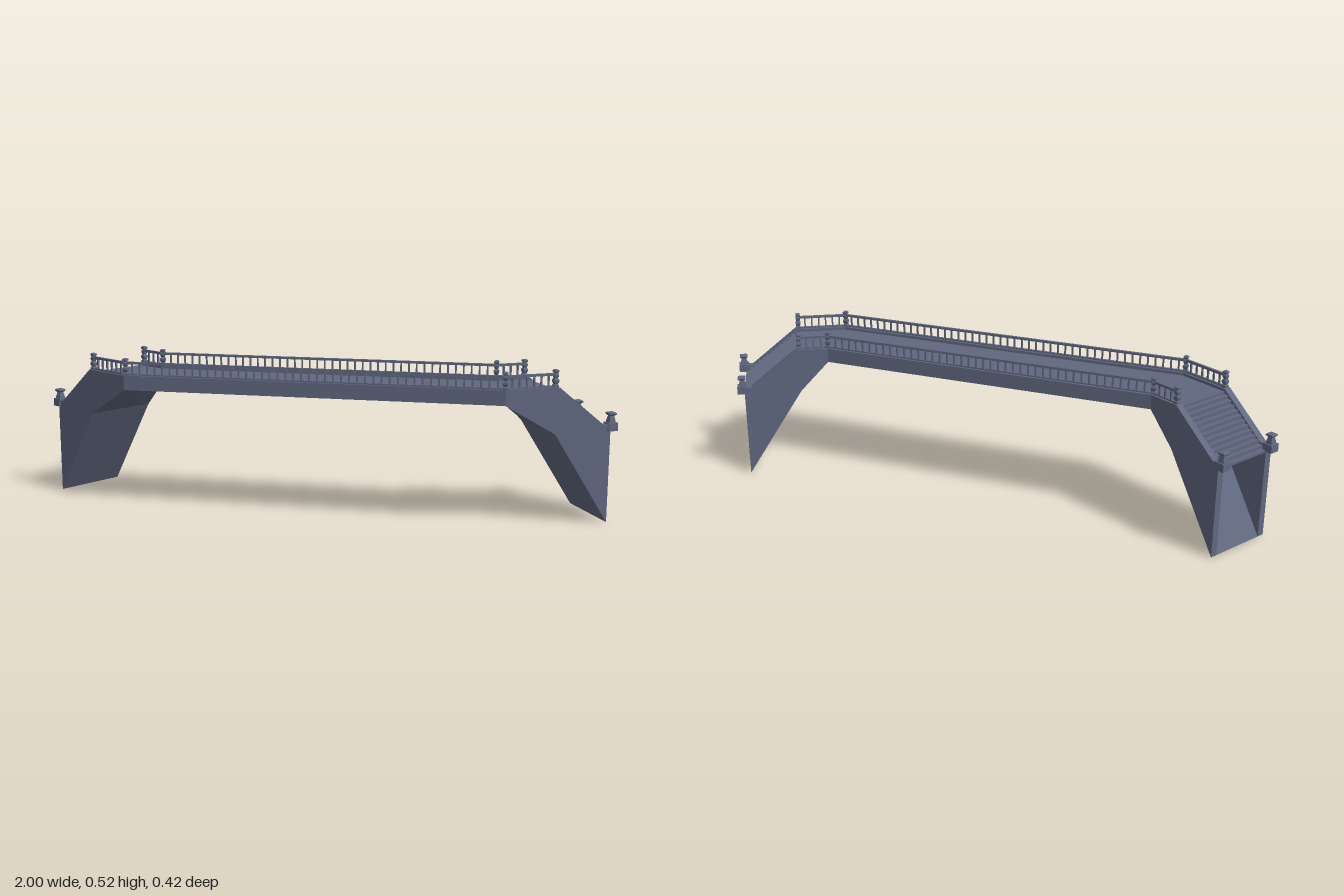
import * as THREE from 'three';
import { mergeGeometries } from 'three/addons/utils/BufferGeometryUtils.js';

const mat = new THREE.MeshStandardMaterial({ color: 0x606880, flatShading: true });
const sheetMat = new THREE.MeshStandardMaterial({ color: 0x606880, flatShading: true, side: THREE.DoubleSide });

const ANGLE = Math.PI / 6, MITRE = Math.tan(Math.PI / 12);
const WALL = 0.025, WIDTH = 0.2506;           // wall thickness, overall wing width
const FX = 0.645, FZ = 0.212;                 // front outer corner of the deck
const BX = 0.589, BZ = -0.045;                // back outer corner of the deck
const TOP = 0.465, FLOOR = 0.455, BEAM = 0.415, KNEE = 0.31;
const STAIR0 = 0.19, END = 0.38;              // distances along the wing

function add(parent, name, geo, x = 0, y = 0, z = 0, material = mat) {
  const m = new THREE.Mesh(geo, material);
  m.name = name;
  m.position.set(x, y, z);
  parent.add(m);
  return m;
}

const shapeOf = pts => new THREE.Shape(pts.map(p => new THREE.Vector2(p[0], p[1])));

// Extrude a plan outline of [x, z] points from y0 up to y1
function slab(pts, y0, y1) {
  const g = new THREE.ExtrudeGeometry(shapeOf(pts.map(([x, z]) => [x, -z])), { depth: y1 - y0, bevelEnabled: false });
  return g.rotateX(-Math.PI / 2).translate(0, y0, 0);
}

// Extrude a side profile of [distance, y] points across the wing from t0 to t1
function across(pts, t0, t1) {
  const g = new THREE.ExtrudeGeometry(shapeOf(pts), { depth: t1 - t0, bevelEnabled: false });
  return g.translate(0, 0, -t1);
}

// Square turned part: four-sided lathe of [half width, y] points
function turned(profile) {
  const pts = profile.map(([r, y]) => new THREE.Vector2(r * Math.SQRT2, y));
  return new THREE.LatheGeometry(pts, 4).rotateY(Math.PI / 4);
}

const postGeo = turned([[0, 0], [0.0085, 0], [0.0085, 0.007], [0.0055, 0.010], [0.0085, 0.018], [0.0085, 0.024],
  [0.005, 0.030], [0.0075, 0.036], [0.0075, 0.042], [0.005, 0.047], [0.008, 0.050], [0.008, 0.055], [0.005, 0.058], [0, 0.058]]);
const newelGeo = turned([[0, 0], [0.0175, 0], [0.0175, 0.027], [0.012, 0.027], [0.011, 0.034], [0.0075, 0.049],
  [0.0095, 0.051], [0.0135, 0.055], [0.0135, 0.059], [0.009, 0.062], [0, 0.062]]);

// Straight balustrade between two [x, z] points
function balustrade(parent, name, a, b) {
  const dx = b[0] - a[0], dz = b[1] - a[1], len = Math.hypot(dx, dz);
  const n = Math.round(len / 0.027);
  const parts = [
    new THREE.BoxGeometry(len, 0.008, 0.009).translate(len / 2, 0.042, 0),
    new THREE.BoxGeometry(len, 0.005, 0.009).translate(len / 2, 0.0025, 0),
  ];
  for (let i = 1; i < n; i++) {
    parts.push(new THREE.BoxGeometry(0.0055, 0.036, 0.0055).translate((len * i) / n, 0.021, 0));
  }
  const m = add(parent, name, mergeGeometries(parts), a[0], TOP, a[1]);
  m.rotation.y = Math.atan2(-dz, dx);
}

// Side wall of a wing: flat top, stair slope, kneed underside, mitred start
function wingWall(start, t0, outer) {
  const g = across([[start, BEAM], [0.18, KNEE], [END, 0], [END, 0.332], [0.355, 0.332], [STAIR0, TOP], [start, TOP]], t0, t0 + WALL);
  const p = g.attributes.position;
  for (let i = 0; i < p.count; i++) {
    if (p.getX(i) < start + 0.001) p.setX(i, start + (-p.getZ(i) - outer) * MITRE);
  }
  g.computeVertexNormals();
  return g;
}

function stairProfile() {
  const n = 12, run = (END - STAIR0) / n, rise = (FLOOR - KNEE) / n;
  const pts = [[STAIR0, 0.435], [END, KNEE - 0.004]];
  for (let i = n; i > 0; i--) {
    pts.push([STAIR0 + run * i, FLOOR - rise * i + 0.004], [STAIR0 + run * (i - 1), FLOOR - rise * i + 0.004]);
  }
  pts.push([STAIR0, FLOOR]);
  return pts;
}

// Thin folded underside between the wing walls
function soffit() {
  const a = WALL, b = WIDTH - WALL, sa = a * MITRE, sb = 0.08 - a * MITRE;
  const v = [
    [sa, 0.441, -a], [sb, 0.441, -b], [sa, BEAM, -a], [sb, BEAM, -b],
    [0.18, KNEE, -a], [0.18, KNEE, -b], [END, 0, -a], [END, 0, -b],
  ];
  const g = new THREE.BufferGeometry();
  g.setAttribute('position', new THREE.Float32BufferAttribute(v.flat(), 3));
  g.setIndex([0, 1, 2, 1, 3, 2, 2, 3, 5, 2, 5, 4, 4, 5, 7, 4, 7, 6]);
  const flat = g.toNonIndexed();
  flat.computeVertexNormals();
  return flat;
}

// One angled stair wing, built for the +x side
function stairWing(name) {
  const side = new THREE.Group();
  side.name = name;
  const wing = new THREE.Group();
  wing.name = 'wing';
  wing.position.set(FX, 0, FZ);
  wing.rotation.y = ANGLE;
  side.add(wing);

  add(wing, 'frontWall', wingWall(0, 0, 0));
  add(wing, 'backWall', wingWall(0.08, WIDTH - WALL, WIDTH));
  add(wing, 'stairs', across(stairProfile(), WALL, WIDTH - WALL));
  add(wing, 'soffit', soffit(), 0, 0, 0, sheetMat);

  const rows = [['front', WALL / 2, 0.003], ['back', WIDTH - WALL / 2, 0.077]];
  for (const [row, t, s0] of rows) {
    add(wing, row + 'LandingPost', postGeo, 0.18, TOP, -t);
    add(wing, row + 'StairNewel', newelGeo, 0.387, KNEE, -t);
    balustrade(wing, row + 'LandingBalustrade', [s0, -t], [0.18, -t]);
  }
  // Corner posts line up with the main span
  add(side, 'frontCornerPost', postGeo, FX - 0.003, TOP, FZ - WALL / 2);
  add(side, 'backCornerPost', postGeo, BX + 0.003, TOP, BZ + WALL / 2);
  return side;
}

export function createModel() {
  const model = new THREE.Group();
  model.name = 'footbridge';

  // Deck floor, reaching along both wings to the head of the stairs
  const c = Math.cos(ANGLE), s = Math.sin(ANGLE);
  const at = (d, t) => [FX + d * c - t * s, FZ - d * s - t * c];
  const m = WALL * MITRE;
  const half = [[BX + m, BZ + WALL], at(STAIR0, WIDTH - WALL), at(STAIR0, WALL), [FX - m, FZ - WALL]];
  const mirrored = half.map(([x, z]) => [-x, z]).reverse();
  add(model, 'deck', slab([...half, ...mirrored], 0.44, FLOOR));

  // Main girders with mitred ends
  add(model, 'frontGirder', slab([[-FX, FZ], [FX, FZ], [FX - m, FZ - WALL], [m - FX, FZ - WALL]], BEAM, TOP));
  add(model, 'backGirder', slab([[-BX - m, BZ + WALL], [BX + m, BZ + WALL], [BX, BZ], [-BX, BZ]], BEAM, TOP));

  balustrade(model, 'frontBalustrade', [-FX, FZ - WALL / 2], [FX, FZ - WALL / 2]);
  balustrade(model, 'backBalustrade', [-BX, BZ + WALL / 2], [BX, BZ + WALL / 2]);

  const left = stairWing('leftStairWing');
  const right = stairWing('rightStairWing');
  right.scale.x = -1;
  model.add(left, right);
  return model;
}
